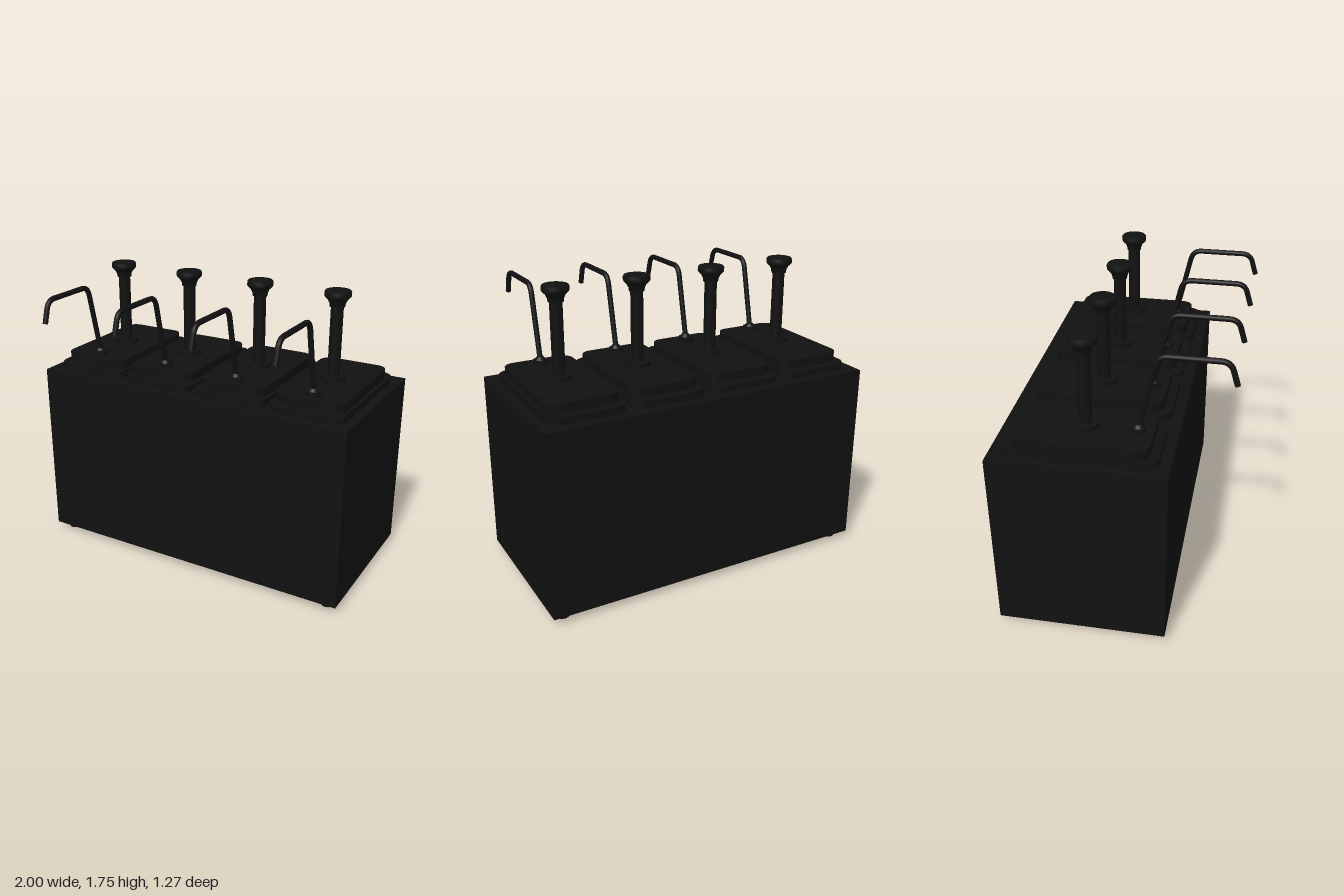
import * as THREE from 'three';

const material = new THREE.MeshStandardMaterial({ color: 0x111111 });

function part(parent, name, geometry, x = 0, y = 0, z = 0) {
  const mesh = new THREE.Mesh(geometry, material);
  mesh.name = name;
  mesh.position.set(x, y, z);
  parent.add(mesh);
  return mesh;
}

// Horizontal plate with rounded corners, standing on y = 0
function plate(w, d, h, r) {
  const x = w / 2, y = d / 2, s = new THREE.Shape();
  s.moveTo(-x + r, -y);
  s.lineTo(x - r, -y).absarc(x - r, -y + r, r, -Math.PI / 2, 0);
  s.lineTo(x, y - r).absarc(x - r, y - r, r, 0, Math.PI / 2);
  s.lineTo(-x + r, y).absarc(-x + r, y - r, r, Math.PI / 2, Math.PI);
  s.lineTo(-x, -y + r).absarc(-x + r, -y + r, r, Math.PI, Math.PI * 1.5);
  return new THREE.ExtrudeGeometry(s, { depth: h, bevelEnabled: false, curveSegments: 8 })
    .rotateX(-Math.PI / 2);
}

// Bent tube path: straight runs joined by rounded bends
function spoutPath() {
  const v = (y, z) => new THREE.Vector3(0, y, z);
  const path = new THREE.CurvePath();
  path.add(new THREE.LineCurve3(v(1.23, 0.122), v(1.61, 0.209)));
  path.add(new THREE.QuadraticBezierCurve3(v(1.61, 0.209), v(1.668, 0.222), v(1.668, 0.275)));
  path.add(new THREE.LineCurve3(v(1.668, 0.275), v(1.668, 0.53)));
  path.add(new THREE.QuadraticBezierCurve3(v(1.668, 0.53), v(1.668, 0.583), v(1.62, 0.597)));
  path.add(new THREE.LineCurve3(v(1.62, 0.597), v(1.54, 0.621)));
  return path;
}

function createPump() {
  const pump = new THREE.Group();
  const pumpZ = -0.157;

  // Stepped lid
  part(pump, 'lidFlange', plate(0.45, 0.83, 0.04, 0.07), 0, 1.13, -0.155);
  part(pump, 'lidTop', plate(0.41, 0.73, 0.055, 0.07), 0, 1.17, -0.155);

  // Plunger with a flared knob
  part(pump, 'plungerCollar', new THREE.CylinderGeometry(0.074, 0.074, 0.027, 32), 0, 1.2375, pumpZ);
  part(pump, 'plungerRod', new THREE.CylinderGeometry(0.036, 0.036, 0.44, 24), 0, 1.45, pumpZ);
  const knob = [[0, 1.655], [0.043, 1.655], [0.043, 1.655], [0.046, 1.675], [0.056, 1.695],
    [0.073, 1.712], [0.076, 1.718], [0.076, 1.738], [0.071, 1.746], [0.045, 1.752], [0, 1.755]];
  part(pump, 'plungerKnob',
    new THREE.LatheGeometry(knob.map(([r, y]) => new THREE.Vector2(r, y)), 32), 0, 0, pumpZ);

  // Spout with its collar and end cap
  part(pump, 'spoutCollar', new THREE.CylinderGeometry(0.044, 0.044, 0.025, 24), 0, 1.2365, 0.122);
  part(pump, 'spoutSocket', new THREE.CylinderGeometry(0.02, 0.034, 0.018, 24), 0, 1.257, 0.126);
  const path = spoutPath();
  part(pump, 'spout', new THREE.TubeGeometry(path, 72, 0.0155, 12));
  const tip = part(pump, 'spoutTip', new THREE.CircleGeometry(0.0155, 12));
  tip.position.copy(path.getPointAt(1));
  tip.quaternion.setFromUnitVectors(new THREE.Vector3(0, 0, 1), path.getTangentAt(1));
  return pump;
}

export function createModel() {
  const model = new THREE.Group();
  model.name = 'pumpDispenser';

  // Cabinet on four tapered feet
  part(model, 'cabinet', new THREE.BoxGeometry(2, 1.088, 0.958), 0, 0.586, -0.157);
  for (const x of [-0.92, 0.92]) {
    for (const z of [0.242, -0.556]) {
      part(model, 'foot', new THREE.CylinderGeometry(0.044, 0.037, 0.044, 24), x, 0.022, z);
    }
  }

  // Row of four pumps
  for (const x of [-0.72, -0.24, 0.24, 0.72]) {
    const pump = createPump();
    pump.name = 'pump';
    pump.position.x = x;
    model.add(pump);
  }
  return model;
}
